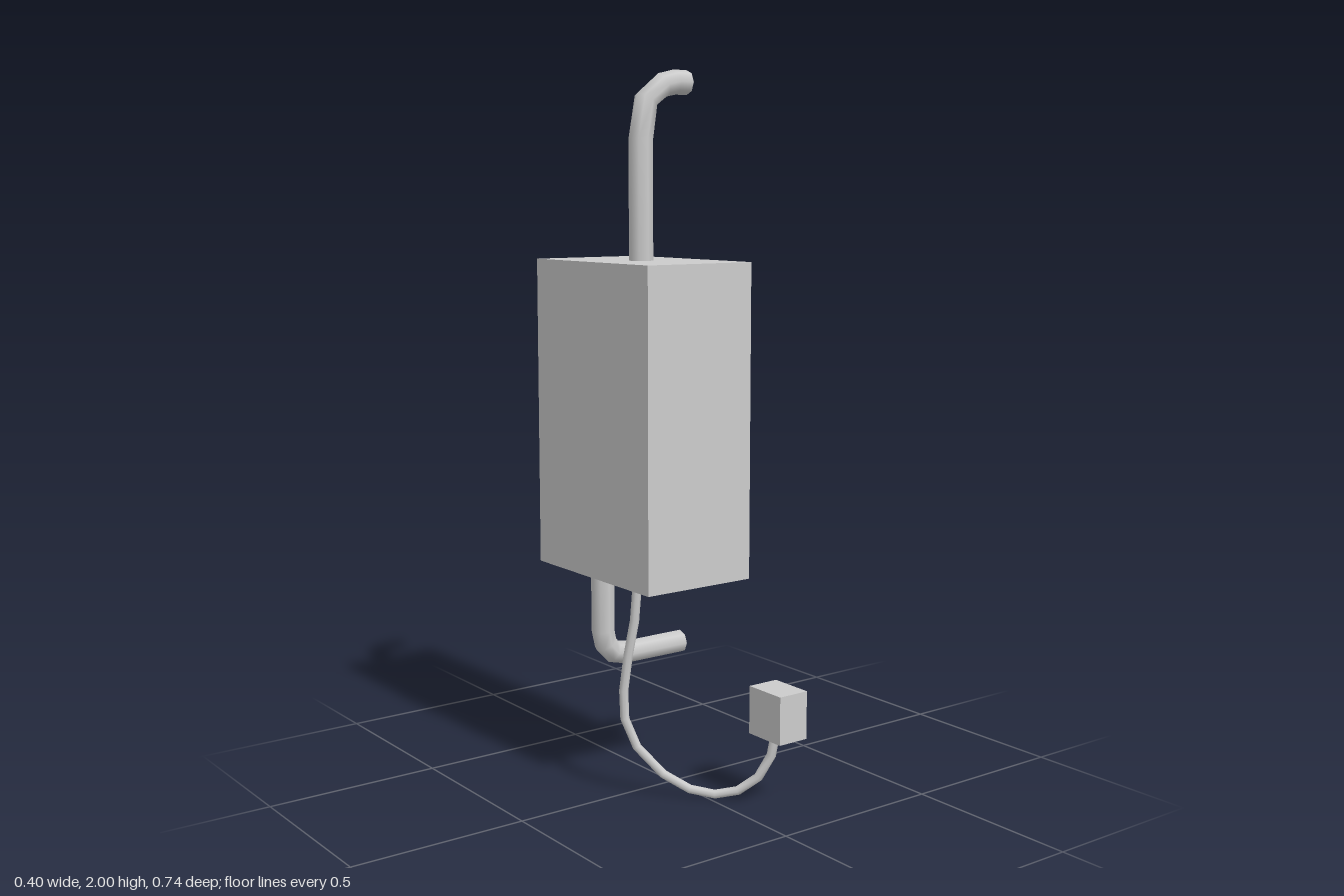
import * as THREE from 'three';

const material = new THREE.MeshStandardMaterial({ color: 0xcccccc, side: THREE.DoubleSide });

// Path that puts one tube ring on each point, turned halfway at every corner
class BentPath extends THREE.Curve {
  constructor(points) {
    super();
    this.points = points.map((p) => new THREE.Vector3(...p));
  }
  index(u) { return Math.round(u * (this.points.length - 1)); }
  getPointAt(u) { return this.points[this.index(u)].clone(); }
  getTangentAt(u) {
    const p = this.points, i = this.index(u), tangent = new THREE.Vector3();
    if (i > 0) tangent.add(p[i].clone().sub(p[i - 1]).normalize());
    if (i < p.length - 1) tangent.add(p[i + 1].clone().sub(p[i]).normalize());
    return tangent.normalize();
  }
}

function addPart(group, name, geometry) {
  const mesh = new THREE.Mesh(geometry, material);
  mesh.name = name;
  group.add(mesh);
  return mesh;
}

// Open-ended eight-sided pipe with smooth sides
function addPipe(group, name, points, radius) {
  const geometry = new THREE.TubeGeometry(new BentPath(points), points.length - 1, radius, 8, false);
  return addPart(group, name, geometry);
}

// Thin box without its +x wall, given by its two corners
function addOpenBox(group, name, min, max) {
  const size = max.map((v, i) => v - min[i]);
  const geometry = new THREE.BoxGeometry(...size);
  geometry.setIndex(Array.from(geometry.index.array).slice(6)); // drop the +x wall
  geometry.clearGroups();
  const mesh = addPart(group, name, geometry);
  mesh.position.set(...max.map((v, i) => (v + min[i]) / 2));
  return mesh;
}

export function createModel() {
  const model = new THREE.Group();
  model.name = 'pipedCabinet';

  // Cabinet, and the small box hanging from the cable
  addOpenBox(model, 'cabinet', [-0.2, 0.605, -0.37], [0.145, 1.48, 0.165]);
  addOpenBox(model, 'cableBox', [0.09, 0.19, 0.237], [0.185, 0.325, 0.367]);

  // Pipe out of the top, bending towards +x
  const upper = [[-0.036, 1.47], [-0.036, 1.81], [-0.018, 1.915], [0.038, 1.957], [0.078, 1.966], [0.12, 1.966]];
  addPipe(model, 'upperPipe', upper.map(([x, y]) => [x, y, -0.093]), 0.034);

  // Pipe out of the bottom, bending towards +x
  const lower = [[-0.083, 0.607], [-0.083, 0.41], [-0.074, 0.368], [-0.048, 0.341], [-0.005, 0.331], [0.197, 0.331]];
  addPipe(model, 'lowerPipe', lower.map(([x, y]) => [x, y, -0.222]), 0.034);

  // Cable drooping in a diagonal plane from the cabinet to the small box
  const cable = [
    [-0.138, 0.61], [-0.144, 0.5], [-0.157, 0.4], [-0.166, 0.3], [-0.164, 0.22], [-0.14, 0.14], [-0.088, 0.065],
    [-0.035, 0.025], [0.015, 0.014], [0.06, 0.028], [0.1, 0.07], [0.125, 0.135], [0.134, 0.21],
  ];
  addPipe(model, 'cable', cable.map(([x, y]) => [x, y, x + 0.166]), 0.013);

  return model;
}
